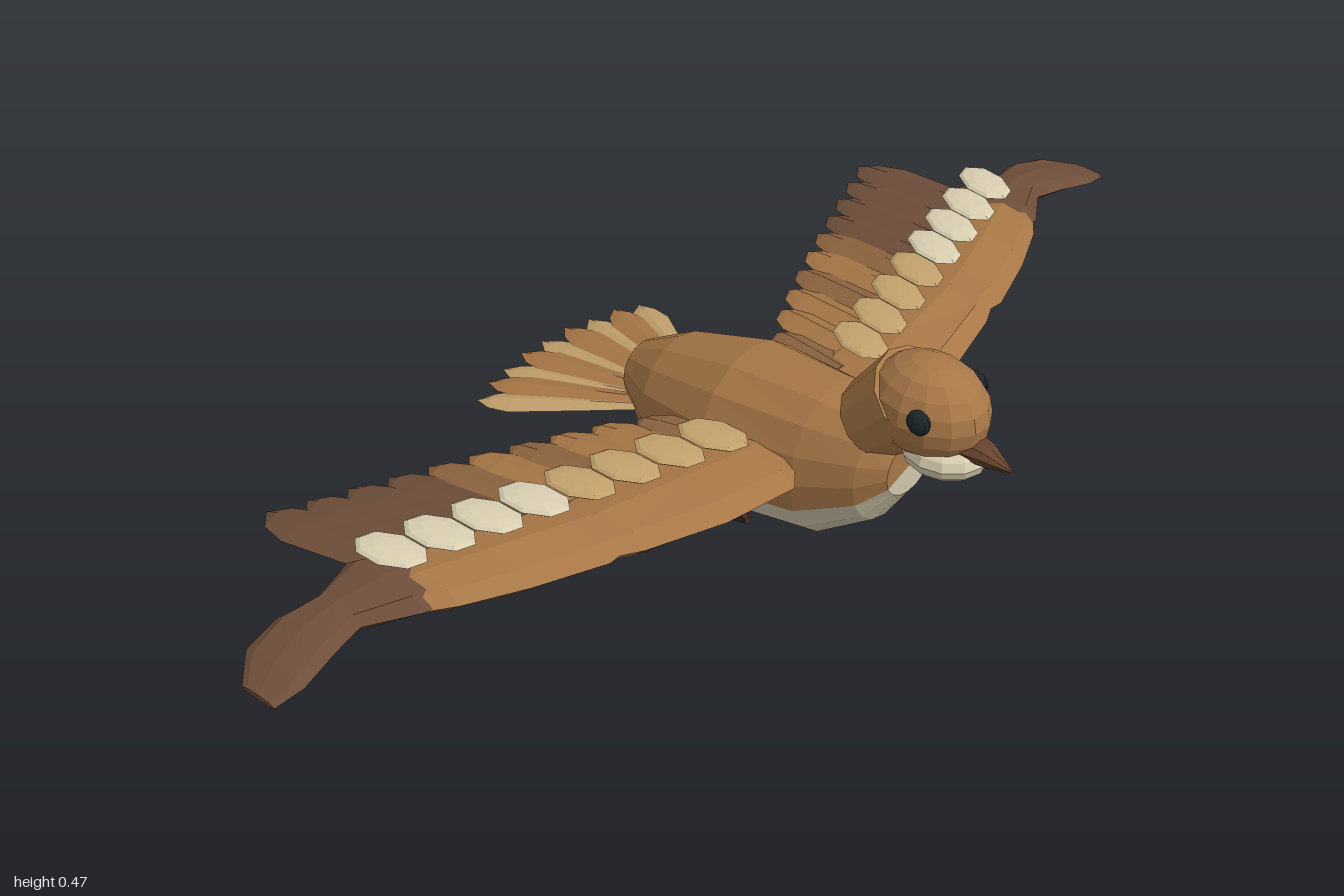
import * as THREE from 'three';

const mat = (color) => new THREE.MeshStandardMaterial({ color, flatShading: true, side: THREE.DoubleSide });
const BROWN = mat(0xa87747), DARK = mat(0x6e4e3a), MID = mat(0x8f6540), TAN = mat(0xc2a06c);
const PALE = mat(0xd8cdb0), BELLY = mat(0xcfc5ab), LEG = mat(0x3a2b24), BLACK = mat(0x1c2529), BEAK = mat(0x65432f);

// Lofts elliptical rings along z. Station: [z, centreX, centreY, radiusX, radiusY]
function loft(stations, sides, from = 0, to = sides) {
  const pos = [];
  const pt = ([z, cx, cy, rx, ry], j) => {
    const a = (j / sides) * Math.PI * 2;
    return [cx + rx * Math.cos(a), cy + ry * Math.sin(a), z];
  };
  const mid = ([z, cx, cy]) => [cx, cy, z];
  const last = stations[stations.length - 1];
  for (let j = from; j < to; j++) {
    for (let i = 0; i < stations.length - 1; i++) {
      const a = pt(stations[i], j), b = pt(stations[i], j + 1);
      const c = pt(stations[i + 1], j + 1), d = pt(stations[i + 1], j);
      pos.push(...a, ...b, ...c, ...a, ...c, ...d);
    }
    pos.push(...mid(stations[0]), ...pt(stations[0], j + 1), ...pt(stations[0], j));
    pos.push(...mid(last), ...pt(last, j), ...pt(last, j + 1));
  }
  const g = new THREE.BufferGeometry();
  g.setAttribute('position', new THREE.Float32BufferAttribute(pos, 3));
  g.computeVertexNormals();
  return g;
}

function add(parent, name, geometry, material, position = [0, 0, 0]) {
  const m = new THREE.Mesh(geometry, material);
  m.name = name;
  m.position.set(...position);
  parent.add(m);
  return m;
}

// Tapered rod between two points
function rod(parent, name, a, b, ra, rb, material, sides = 6) {
  const A = new THREE.Vector3(...a), B = new THREE.Vector3(...b), d = B.clone().sub(A);
  const m = add(parent, name, new THREE.CylinderGeometry(rb, ra, d.length(), sides), material);
  m.position.copy(A).add(B).multiplyScalar(0.5);
  m.quaternion.setFromUnitVectors(new THREE.Vector3(0, 1, 0), d.normalize());
  return m;
}

// Thin feather with a raised spine, running from root to tip
function feather(parent, name, root, tip, width, thick, material, profile) {
  const A = new THREE.Vector3(...root), B = new THREE.Vector3(...tip), len = A.distanceTo(B);
  const m = new THREE.Mesh(loft(profile.map(([t, w]) => [t * len, 0, 0, w * width, thick * Math.sqrt(w)]), 4), material);
  m.name = name;
  m.position.copy(A);
  m.lookAt(B);
  parent.add(m);
}
const FLIGHT = [[0, 0.6], [0.35, 0.9], [0.75, 1], [0.92, 0.65], [1, 0.05]];
const FAN = [[0, 0.25], [0.4, 0.65], [0.8, 1], [0.92, 0.65], [1, 0.04]];

// Turns [x, frontZ, backZ, y, halfHeight] rows into a loft running along +x
const spanLoft = (rows, sides) =>
  loft(rows.map(([x, f, b, y, h]) => [x, -(f + b) / 2, y, (f - b) / 2, h]), sides).rotateY(Math.PI / 2);

function buildWing() {
  const wing = new THREE.Group();
  add(wing, 'upperWing', spanLoft([
    [0.08, 0.15, 0.02, 0.235, 0.015], [0.14, 0.2, 0.0, 0.235, 0.028], [0.28, 0.185, -0.02, 0.24, 0.034],
    [0.42, 0.145, -0.03, 0.247, 0.032], [0.49, 0.11, -0.01, 0.25, 0.022],
  ], 8), BROWN);
  add(wing, 'forearm', spanLoft([
    [0.42, 0.125, -0.02, 0.25, 0.025], [0.48, 0.13, -0.05, 0.25, 0.031], [0.6, 0.085, -0.09, 0.251, 0.03],
    [0.7, 0.035, -0.12, 0.25, 0.026], [0.77, -0.02, -0.12, 0.245, 0.016],
  ], 8), BROWN);
  add(wing, 'wingTip', spanLoft([
    [0.68, 0.01, -0.13, 0.25, 0.022], [0.74, 0.01, -0.165, 0.25, 0.026], [0.82, -0.045, -0.145, 0.241, 0.022],
    [0.88, -0.035, -0.16, 0.234, 0.02], [0.95, -0.02, -0.15, 0.223, 0.013], [1, -0.028, -0.1, 0.213, 0.005],
  ], 8), DARK);

  // Flight feathers along the trailing edge
  const shades = [MID, BROWN, BROWN, MID, BROWN, MID, DARK, DARK, DARK, DARK];
  shades.forEach((shade, i) => {
    const t = i / (shades.length - 1);
    feather(wing, 'flightFeather', [0.14 + 0.55 * t, 0.252 + 0.006 * t, 0.06 - 0.13 * t],
      [0.17 + 0.545 * t, 0.234 - 0.016 * t, -0.11 - 0.275 * Math.pow(t, 0.85)],
      0.038 + 0.008 * t, 0.012, shade, FLIGHT);
  });

  // Row of small overlapping covert feathers on top
  for (let i = 0; i < 8; i++) {
    const t = i / 7;
    const c = add(wing, 'covertFeather', new THREE.SphereGeometry(1, 8, 6), i < 4 ? TAN : PALE,
      [0.18 + 0.535 * t, 0.295 + 0.004 * t, 0.065 - 0.155 * t]);
    c.scale.set(0.038, 0.009, 0.062);
    c.rotation.set(0.04, -0.3, 0);
  }
  return wing;
}

function buildLeg() {
  const leg = new THREE.Group();
  rod(leg, 'thigh', [0.06, 0.085, 0.0], [0.06, 0.04, 0.025], 0.016, 0.009, LEG);
  rod(leg, 'shank', [0.06, 0.042, 0.03], [0.06, 0.022, -0.045], 0.009, 0.007, LEG);
  for (const s of [-1, 0, 1]) {
    const x = 0.06 + s * 0.018;
    rod(leg, 'toe', [0.06, 0.022, -0.04], [x, 0.007, -0.1], 0.008, 0.006, LEG);
    rod(leg, 'claw', [x, 0.007, -0.098], [x + s * 0.003, 0.014, -0.125], 0.006, 0.002, LEG);
  }
  rod(leg, 'hindToe', [0.06, 0.026, -0.035], [0.06, 0.056, -0.015], 0.007, 0.003, LEG);
  return leg;
}

export function createModel() {
  const bird = new THREE.Group();
  bird.name = 'bird';

  // Body: brown back and pale belly share one set of sections
  const body = [
    [-0.26, 0, 0.185, 0.05, 0.053], [-0.175, 0, 0.175, 0.098, 0.111], [-0.015, 0, 0.185, 0.132, 0.15],
    [0.165, 0, 0.205, 0.112, 0.14], [0.27, 0, 0.237, 0.083, 0.097], [0.315, 0, 0.258, 0.055, 0.05],
  ];
  add(bird, 'back', loft(body, 16, 15, 25), BROWN);
  add(bird, 'belly', loft(body, 16, 9, 15), BELLY);

  // Neck, head and throat
  rod(bird, 'neck', [0, 0.318, 0.247], [0, 0.4, 0.325], 0.069, 0.08, BROWN, 12);
  const head = add(bird, 'head', new THREE.SphereGeometry(1, 14, 10), BROWN, [0, 0.392, 0.35]);
  head.scale.set(0.08, 0.084, 0.106);
  const throat = add(bird, 'throat', new THREE.SphereGeometry(1, 12, 8), PALE, [0, 0.326, 0.385]);
  throat.scale.set(0.066, 0.04, 0.074);

  // Beak: two tapered halves
  add(bird, 'upperBeak', loft([[0.42, 0, 0.355, 0.032, 0.02], [0.465, 0, 0.353, 0.022, 0.015], [0.51, 0, 0.342, 0.003, 0.003]], 8), BEAK);
  add(bird, 'lowerBeak', loft([[0.42, 0, 0.342, 0.025, 0.011], [0.465, 0, 0.341, 0.017, 0.008], [0.497, 0, 0.337, 0.003, 0.003]], 8), DARK);

  // Mirrored parts
  for (const [side, s] of [['left', 1], ['right', -1]]) {
    const eye = add(bird, side + 'Eye', new THREE.SphereGeometry(0.021, 12, 8), BLACK, [s * 0.07, 0.41, 0.384]);
    eye.scale.x = 0.7;
    for (const [part, build] of [['Wing', buildWing], ['Leg', buildLeg]]) {
      const g = build();
      g.name = side + part;
      g.scale.x = s;
      bird.add(g);
    }
  }

  // Tail fan
  const tail = new THREE.Group();
  tail.name = 'tail';
  for (let i = -4; i <= 4; i++) {
    const a = i * 0.166, len = 0.335, lift = (i % 2) * (i % 2) * 0.004;
    feather(tail, 'tailFeather', [0.012 * i, 0.168 + lift, -0.175],
      [0.2 * Math.sin(a) / Math.sin(0.664), 0.126 + lift, -0.175 - len * (0.35 + 0.65 * Math.cos(a))],
      0.032, 0.008, i % 2 ? BROWN : TAN, FAN);
  }
  bird.add(tail);
  return bird;
}
